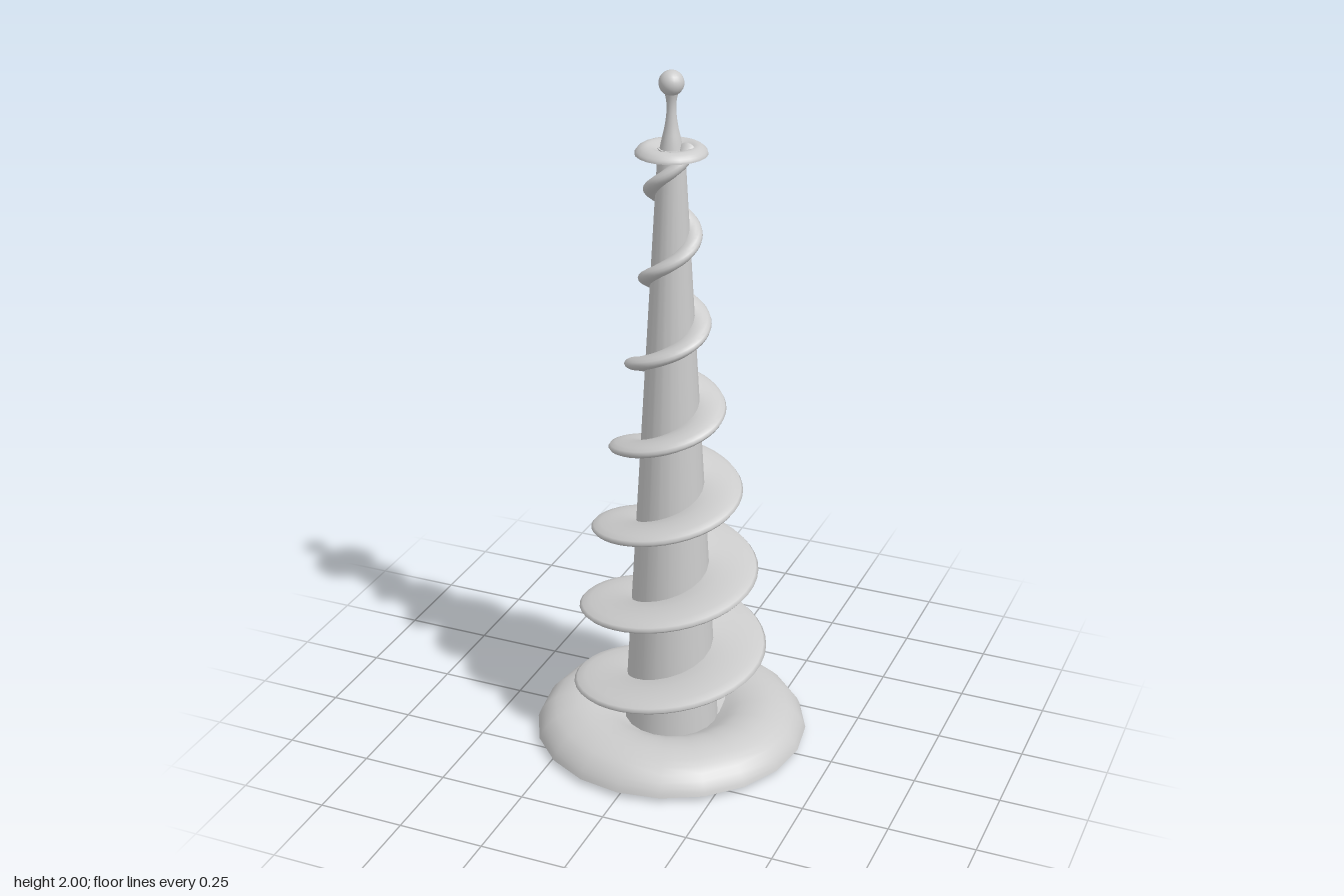
import * as THREE from 'three';
import { ParametricGeometry } from 'three/addons/geometries/ParametricGeometry.js';

const TURNS = 7, Y0 = 0.022, Y1 = 1.788, THICK = 0.022, SIDES = 20;

// Outer radius of the spiral blade by height
const BLADE = [[0, 0.288], [0.15, 0.286], [0.28, 0.277], [0.47, 0.261], [0.66, 0.23], [0.85, 0.19],
  [1.03, 0.155], [1.22, 0.122], [1.41, 0.092], [1.6, 0.081], [1.8, 0.068]];

function bladeRadius(y) {
  let i = 0;
  while (i < BLADE.length - 2 && y > BLADE[i + 1][0]) i++;
  const [a, ra] = BLADE[i], [b, rb] = BLADE[i + 1];
  return ra + (rb - ra) * (y - a) / (b - a);
}

const columnRadius = (y) => 0.14 - 0.058 * y;

// Centre and half width of the blade's oval section at a height
function bladeSection(y) {
  const outer = bladeRadius(y), inner = columnRadius(y) * 0.5;
  return { mid: (outer + inner) / 2, half: (outer - inner) / 2 };
}

export function createModel() {
  const group = new THREE.Group();
  const solid = new THREE.MeshStandardMaterial({ color: 0xcccccc });
  const shell = new THREE.MeshStandardMaterial({ color: 0xcccccc, side: THREE.DoubleSide });

  const add = (name, geometry, material = solid) => {
    const mesh = new THREE.Mesh(geometry, material);
    mesh.name = name;
    group.add(mesh);
    return mesh;
  };
  // Smooth turned part from a few profile points, listed bottom to top or rim to centre
  const turned = (points, divisions) => new THREE.LatheGeometry(
    new THREE.SplineCurve(points.map(([x, y]) => new THREE.Vector2(x, y))).getPoints(divisions), SIDES);

  // Hollow ring-shaped foot, dished around the column
  add('base', turned([[0.397, 0.015], [0.385, 0.042], [0.352, 0.076], [0.3, 0.096],
    [0.25, 0.099], [0.2, 0.088], [0.16, 0.066], [0.135, 0.05]], 16), shell);

  // Tapered column
  const column = add('column', new THREE.CylinderGeometry(columnRadius(1.79), columnRadius(0.05), 1.74, SIDES));
  column.position.y = 0.92;

  // Spiral blade with an oval section, winding up the column
  const blade = new ParametricGeometry((u, v, target) => {
    const y = Y0 + (Y1 - Y0) * u, angle = u * TURNS * Math.PI * 2, phi = v * Math.PI * 2;
    const { mid, half } = bladeSection(y);
    const r = mid + half * Math.cos(phi);
    target.set(r * Math.cos(angle), y + THICK * Math.sin(phi), -r * Math.sin(angle));
  }, TURNS * 40, 16);
  add('spiralBlade', blade);

  // Flat ends of the blade
  for (const [y, turn] of [[Y0, 0], [Y1, Math.PI]]) {
    const { mid, half } = bladeSection(y);
    const cap = add('bladeEnd', new THREE.CircleGeometry(1, 16));
    cap.scale.set(half, THICK, 1);
    cap.rotation.y = turn;
    cap.position.set(mid, y, 0);
  }

  // Small hollow collar, dished like the base
  add('collar', turned([[0.098, 0], [0.096, 0.008], [0.085, 0.019], [0.07, 0.024],
    [0.055, 0.021], [0.035, 0.012], [0.02, 0.01]].map(([r, y]) => [r, y + 1.775]), 14), shell);

  // Waisted spindle carrying the ball
  add('spindle', turned([[0.032, 1.785], [0.026, 1.815], [0.018, 1.85], [0.013, 1.89],
    [0.014, 1.92], [0.02, 1.945]], 14), shell);
  const ball = add('ball', new THREE.SphereGeometry(0.034, SIDES, 14));
  ball.position.y = 1.966;

  return group;
}
